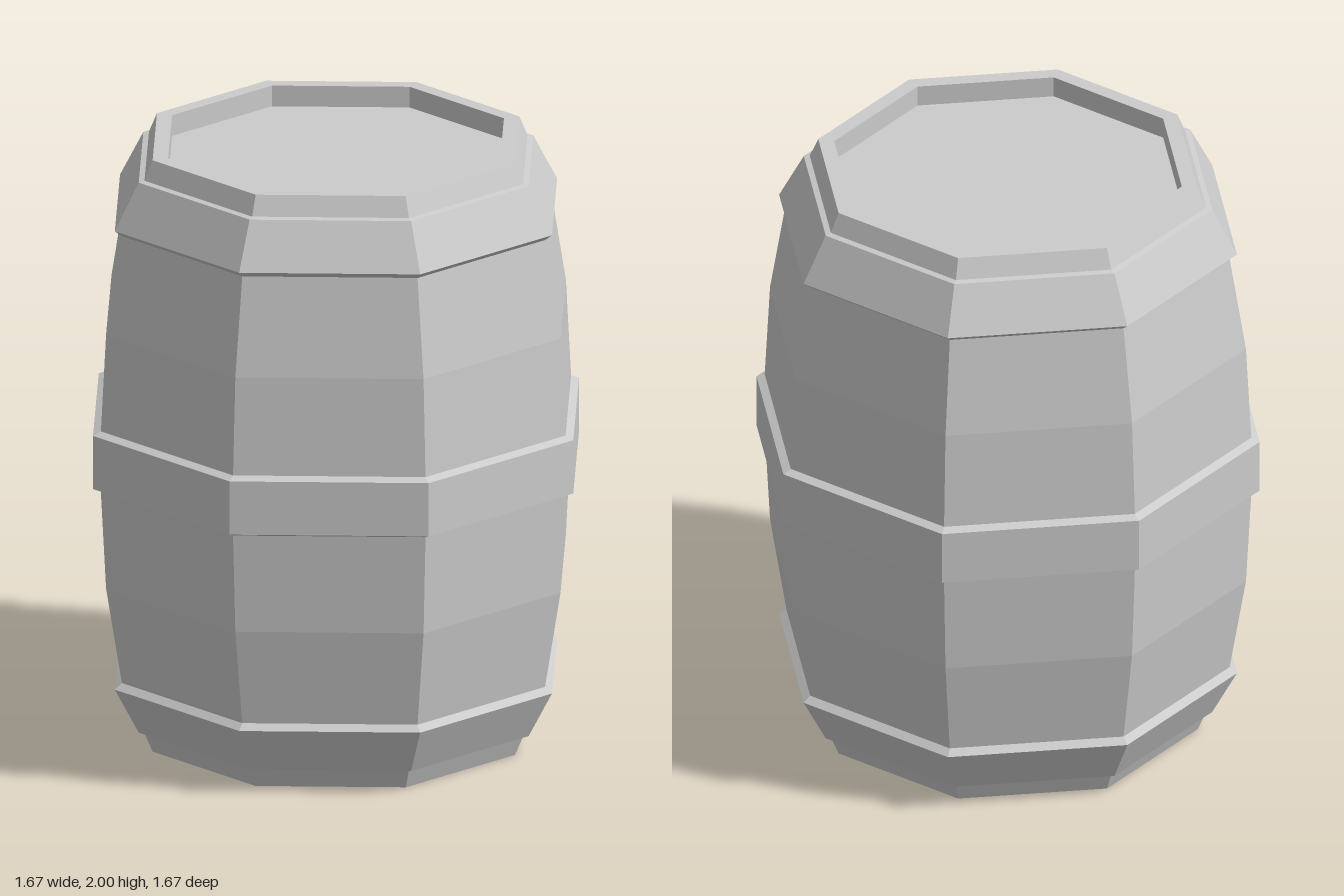
import * as THREE from 'three';

const SIDES = 8;
const material = new THREE.MeshStandardMaterial({ color: 0xcccccc, flatShading: true });

// Eight-sided ring or solid turned from [radius, height] pairs, listed bottom to top
function turned(name, profile) {
  const points = profile.map(([r, y]) => new THREE.Vector2(r, y));
  const mesh = new THREE.Mesh(new THREE.LatheGeometry(points, SIDES), material);
  mesh.name = name;
  return mesh;
}

// Mirror a profile about mid height, keeping the bottom-to-top order
const flipped = (profile) => profile.map(([r, y]) => [r, 2 - y]).reverse();

export function createModel() {
  const barrel = new THREE.Group();
  barrel.name = 'barrel';

  // Bulging staves, closed flat below and with a raised rim around a sunken lid
  const lowerStaves = [[0.63, 0], [0.66, 0.07], [0.735, 0.24], [0.79, 0.57], [0.808, 0.9]];
  barrel.add(turned('staves', [[0, 0], ...lowerStaves, ...flipped(lowerStaves), [0.577, 2]]));
  barrel.add(turned('lid', [[0.577, 2], [0.577, 1.93], [0, 1.93]]));

  // Hoops with bevelled edges that meet the staves
  const endHoop = [[0.655, 0.065], [0.678, 0.07], [0.76, 0.225], [0.735, 0.245]];
  barrel.add(turned('bottomHoop', endHoop));
  barrel.add(turned('middleHoop', [[0.806, 0.9], [0.835, 0.912], [0.835, 1.092], [0.806, 1.105]]));
  barrel.add(turned('topHoop', flipped(endHoop)));

  return barrel;
}
